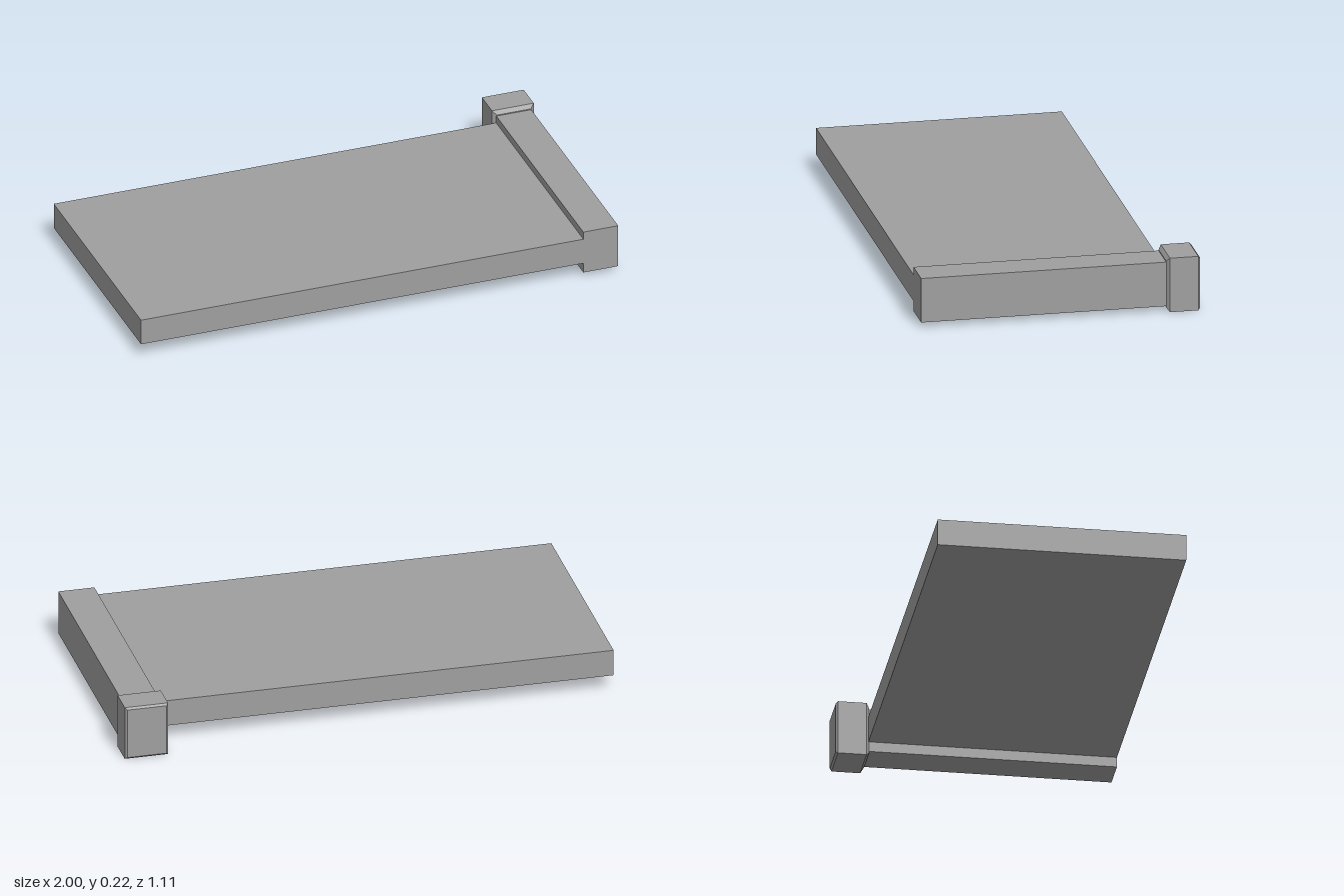
import * as THREE from 'three';

export function createModel() {
  const group = new THREE.Group();
  const grey = new THREE.MeshStandardMaterial({ color: 0x9f9f9f, flatShading: true });
  grey.name = 'plain grey';

  const add = (name, geometry) => {
    const mesh = new THREE.Mesh(geometry, grey);
    mesh.name = name;
    group.add(mesh);
  };

  // Box given by its lower and upper limits on each axis
  const block = (x0, x1, y0, y1, z0, z1) =>
    new THREE.BoxGeometry(x1 - x0, y1 - y0, z1 - z0)
      .translate((x0 + x1) / 2, (y0 + y1) / 2, (z0 + z1) / 2);

  // Flat slab and the thicker rail along its left edge
  add('panel', block(-1, 0.84, 0.062, 0.17, -0.425, 0.555));
  add('edgeRail', block(0.84, 0.985, 0.021, 0.202, -0.425, 0.555));

  // End block: rings from back to front, each with its depth and inset
  const rings = [
    { z: -0.555, inset: 0.008 },
    { z: -0.547, inset: 0 },
    { z: -0.434, inset: 0 },
    { z: -0.422, inset: 0.016 },
  ];
  const width = 0.174, height = 0.222;
  const cap = new THREE.BoxGeometry(width, height, 3, 1, 1, 3);
  const p = cap.attributes.position;
  for (let i = 0; i < p.count; i++) {
    const { z, inset } = rings[Math.round(p.getZ(i) + 1.5)];
    p.setXYZ(i,
      Math.sign(p.getX(i)) * (width / 2 - inset),
      Math.sign(p.getY(i)) * (height / 2 - inset),
      z);
  }
  cap.translate(1 - width / 2, height / 2, 0);
  cap.computeVertexNormals();
  add('endBlock', cap);

  return group;
}
